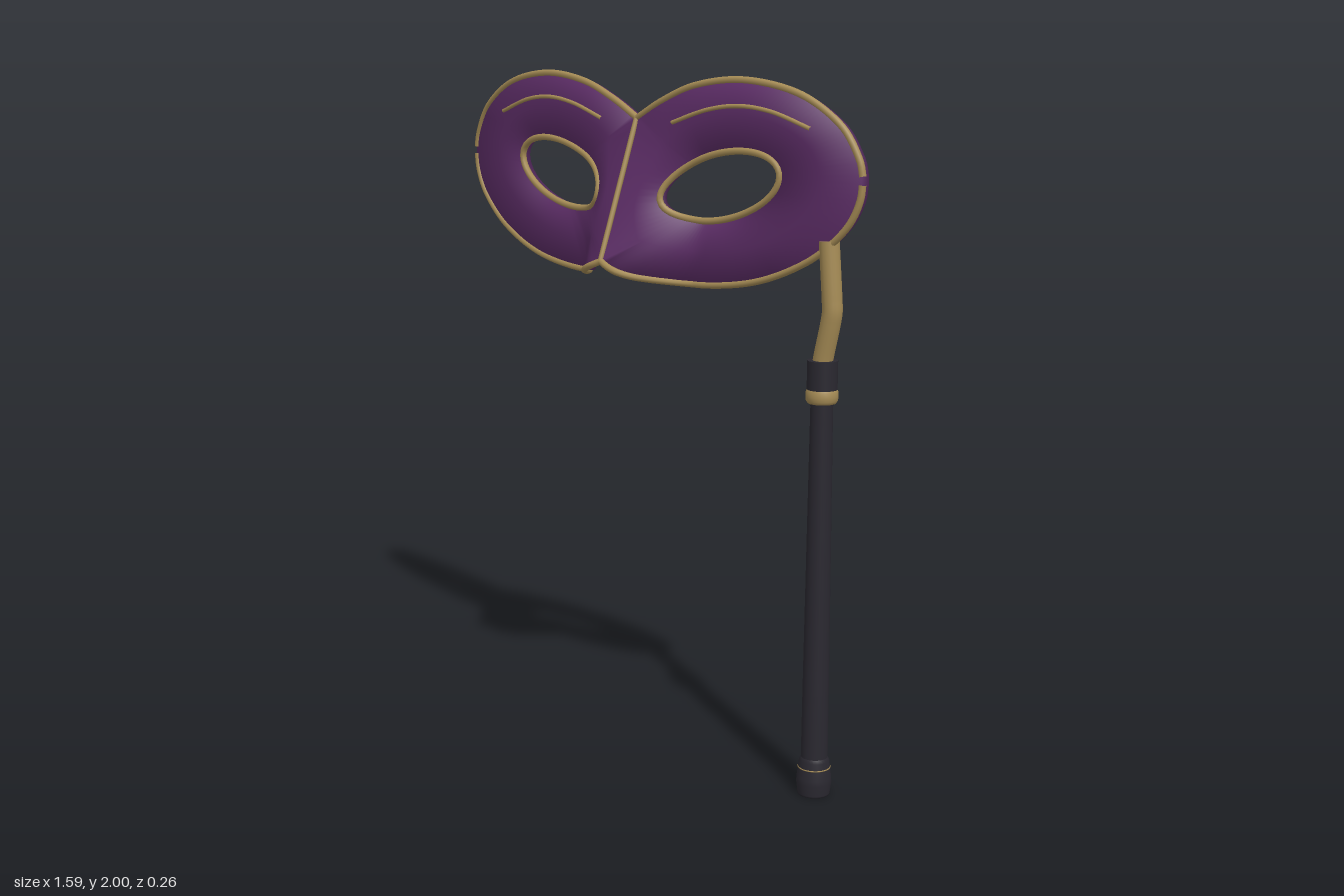
import * as THREE from 'three';

const purple = new THREE.MeshStandardMaterial({ color: 0x5c2d66 });
const gold = new THREE.MeshStandardMaterial({ color: 0xa58b55 });
const dark = new THREE.MeshStandardMaterial({ color: 0x2a2830 });

const THICK = 0.03;
const EYE = { x: 0.327, y: 1.7, a: 0.204, b: 0.091, tilt: 0.24 };

// Outline of one half, split where the trim meets at the temple
const UPPER = [[0, 1.875], [0.1, 1.927], [0.23, 1.974], [0.4, 1.992], [0.58, 1.962], [0.71, 1.888], [0.77, 1.805], [0.785, 1.752]];
const LOWER = [[0.785, 1.73], [0.775, 1.675], [0.73, 1.602], [0.62, 1.515], [0.45, 1.446], [0.25, 1.418], [0.12, 1.432], [0, 1.475]];
const BROW = [[0.145, 1.868], [0.27, 1.907], [0.385, 1.922], [0.5, 1.91], [0.625, 1.87]];

const sample = (pts, n) => new THREE.SplineCurve(pts.map(p => new THREE.Vector2(...p))).getSpacedPoints(n);

// Front depth: sides sweep back, the nose ridge pushes forward at the bottom centre
function depth(x, y) {
  const u = THREE.MathUtils.clamp((1.875 - y) / 0.4, 0, 1.1);
  const nose = 0.145 * Math.pow(u, 1.25) * (1 - THREE.MathUtils.smoothstep(Math.abs(x), 0.03, 0.23));
  return -0.022 - 0.093 * x * x + nose;
}

function eyePoint(t) {
  const u = EYE.a * Math.cos(t), v = EYE.b * Math.sin(t);
  const c = Math.cos(EYE.tilt), s = Math.sin(EYE.tilt);
  return new THREE.Vector2(EYE.x + u * c - v * s, EYE.y + u * s + v * c);
}

// Eye-opening point facing a given outline point
function eyeTowards(p) {
  const c = Math.cos(EYE.tilt), s = Math.sin(EYE.tilt);
  const dx = p.x - EYE.x, dy = p.y - EYE.y;
  return eyePoint(Math.atan2((dy * c - dx * s) / EYE.b, (dx * c + dy * s) / EYE.a));
}

// Plate between outline and eye opening, with softly rounded edge shading
function halfMask(side) {
  const seam = [];
  for (let i = 1; i < 16; i++) seam.push(new THREE.Vector2(0, 1.475 + 0.4 * i / 16));
  const loop = [...sample(UPPER, 56), ...sample(LOWER, 56), ...seam];
  const n = loop.length, pos = [], index = [];
  for (const p of loop) {
    const e = eyeTowards(p);
    [0, 0.5, 1, 1, 0.5, 0].forEach((t, k) => {
      const q = p.clone().lerp(e, t);
      pos.push(side * q.x, q.y, depth(q.x, q.y) - (k > 2 ? THICK : 0));
    });
  }
  const onSeam = i => Math.abs(loop[i].x) < 1e-6;
  for (let i = 0; i < n; i++) {
    const j = (i + 1) % n;
    for (let k = 0; k < 6; k++) {
      if (k === 5 && onSeam(i) && onSeam(j)) continue;
      const m = (k + 1) % 6;
      const a = i * 6 + k, b = j * 6 + k, c = i * 6 + m, d = j * 6 + m;
      if (side > 0) index.push(c, b, a, c, d, b);
      else index.push(a, b, c, b, d, c);
    }
  }
  const geo = new THREE.BufferGeometry();
  geo.setAttribute('position', new THREE.Float32BufferAttribute(pos, 3));
  geo.setIndex(index);
  geo.computeVertexNormals();
  // Lean the normals outward at both rims
  const normals = geo.attributes.normal, v = new THREE.Vector3();
  loop.forEach((p, i) => {
    const r = p.clone().sub(eyeTowards(p)).normalize();
    for (const [k, w] of [[0, 0.6], [5, 0.6], [2, -0.6], [3, -0.6]]) {
      if (w > 0 && onSeam(i)) continue;
      v.fromBufferAttribute(normals, i * 6 + k);
      v.x += side * r.x * w;
      v.y += r.y * w;
      v.normalize();
      normals.setXYZ(i * 6 + k, v.x, v.y, v.z);
    }
  });
  return geo;
}

// Gold piping lying on the front surface
function piping(points, side, radius, lift, closed = false) {
  const path = points.map(p => new THREE.Vector3(side * p.x, p.y, depth(p.x, p.y) + lift));
  const curve = new THREE.CatmullRomCurve3(path, closed);
  return new THREE.TubeGeometry(curve, 72, radius, 8, closed);
}

function lathe(points) {
  return new THREE.LatheGeometry(points.map(p => new THREE.Vector2(...p)), 28);
}

export function createModel() {
  const model = new THREE.Group();
  const add = (name, geo, mat, parent = model) => {
    const mesh = new THREE.Mesh(geo, mat);
    mesh.name = name;
    parent.add(mesh);
    return mesh;
  };

  // Mask halves and their trim
  const mask = new THREE.Group();
  mask.name = 'mask';
  model.add(mask);
  const eyeLoop = Array.from({ length: 40 }, (_, i) => eyePoint(i / 40 * Math.PI * 2));
  for (const side of [1, -1]) {
    const label = side > 0 ? 'left' : 'right';
    add(label + 'MaskHalf', halfMask(side), purple, mask);
    add(label + 'UpperTrim', piping(sample(UPPER, 28), side, 0.01, -0.004), gold, mask);
    add(label + 'LowerTrim', piping(sample(LOWER, 28), side, 0.01, -0.004), gold, mask);
    add(label + 'EyeTrim', piping(eyeLoop, side, 0.01, -0.002, true), gold, mask);
    add(label + 'BrowLine', piping(sample(BROW, 20), side, 0.006, 0.002), gold, mask);
  }

  // Straight centre ridge
  const ridge = new THREE.LineCurve3(new THREE.Vector3(0, 1.877, -0.024), new THREE.Vector3(0, 1.472, 0.122));
  add('centreRidge', new THREE.TubeGeometry(ridge, 1, 0.008, 8), gold, mask);

  // Handle
  const handle = new THREE.Group();
  handle.name = 'handle';
  handle.position.set(0.665, 0, -0.08);
  model.add(handle);
  add('endCap', lathe([[0, 0], [0.046, 0], [0.046, 0.004], [0.05, 0.035], [0.049, 0.05], [0.043, 0.1], [0.038, 0.11]]), dark, handle);
  add('grip', lathe([[0.038, 0.1], [0.037, 0.3], [0.031, 1.12], [0.032, 1.14]]), dark, handle);
  const band = add('capBand', new THREE.TorusGeometry(0.045, 0.002, 6, 28), gold, handle);
  band.rotation.x = Math.PI / 2;
  band.position.y = 0.08;
  add('goldRing', lathe([[0.03, 1.13], [0.039, 1.132], [0.044, 1.14], [0.045, 1.152], [0.044, 1.165], [0.04, 1.172]]), gold, handle);
  const collar = add('collar', new THREE.CylinderGeometry(0.042, 0.042, 0.08, 28), dark, handle);
  collar.position.y = 1.21;

  // Bent gold arm joining the handle to the mask
  const armPoints = [[-0.004, 1.22], [0.003, 1.26], [0.024, 1.35], [0.03, 1.385], [0.028, 1.42], [0.014, 1.575]];
  const armPath = new THREE.CatmullRomCurve3(armPoints.map(p => new THREE.Vector3(p[0], p[1], 0)));
  add('bentArm', new THREE.TubeGeometry(armPath, 32, 0.028, 16), gold, handle);
  const cap = add('armCap', new THREE.CircleGeometry(0.028, 16), gold, handle);
  cap.position.set(0.014, 1.575, 0);
  cap.quaternion.setFromUnitVectors(new THREE.Vector3(0, 0, 1), armPath.getTangent(1));

  return model;
}
